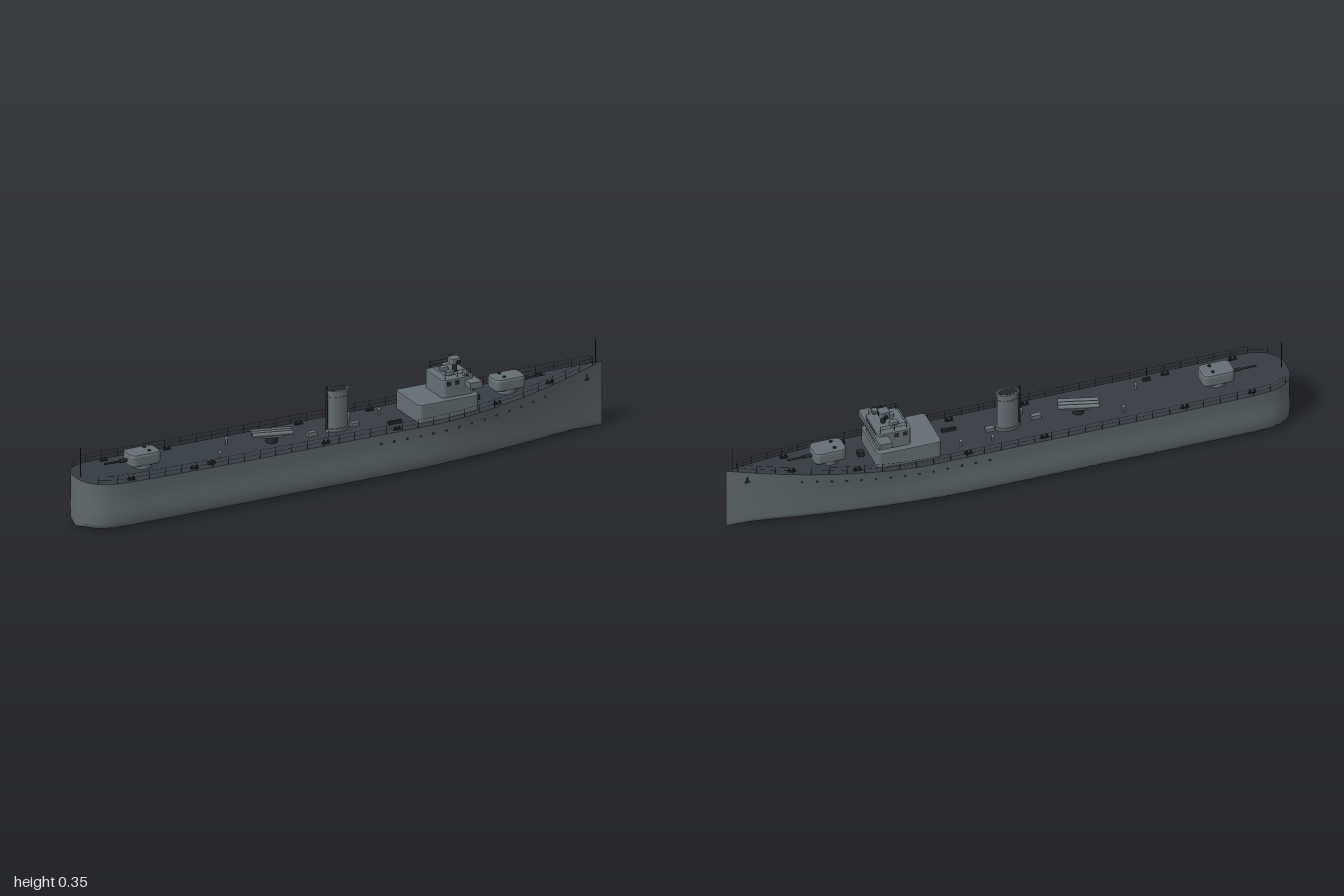
import * as THREE from 'three';

const mat = (name, color) => Object.assign(new THREE.MeshStandardMaterial({ color }), { name });

export function createModel() {
  const ship = new THREE.Group();
  ship.name = 'warship';
  const hullGrey = mat('hull grey', 0x5f696d);
  const houseGrey = mat('superstructure grey', 0x656f74);
  const deckGrey = mat('deck dark grey', 0x353c42);
  const dark = mat('fittings near black', 0x22282c);
  hullGrey.side = THREE.DoubleSide;

  const add = (name, geo, m, x = 0, y = 0, z = 0, parent = ship) => {
    const mesh = new THREE.Mesh(geo, m);
    mesh.name = name;
    mesh.position.set(x, y, z);
    parent.add(mesh);
    return mesh;
  };
  const box = (name, m, x, y, z, w, h, d, parent) =>
    add(name, new THREE.BoxGeometry(w, h, d), m, x, y, z, parent);
  const post = (name, m, x, y0, y1, z, r, sides = 10, parent = ship) =>
    add(name, new THREE.CylinderGeometry(r, r, y1 - y0, sides), m, x, (y0 + y1) / 2, z, parent);
  const rod = (name, m, a, b, r, sides = 8, parent = ship) => {
    const from = new THREE.Vector3(...a), to = new THREE.Vector3(...b);
    const mesh = add(name, new THREE.CylinderGeometry(r, r, from.distanceTo(to), sides), m, 0, 0, 0, parent);
    mesh.position.copy(from).lerp(to, 0.5);
    mesh.quaternion.setFromUnitVectors(new THREE.Vector3(0, 1, 0), to.sub(from).normalize());
    return mesh;
  };
  // Upright block with rounded plan corners and a bevelled rim
  const slab = (name, m, x0, x1, y0, y1, hz, r, bevel = 0.003, parent = ship) => {
    const w = (x1 - x0) / 2 - bevel, h = hz - bevel, s = new THREE.Shape();
    s.moveTo(-w + r, -h).lineTo(w - r, -h).absarc(w - r, -h + r, r, -Math.PI / 2, 0)
      .absarc(w - r, h - r, r, 0, Math.PI / 2).absarc(-w + r, h - r, r, Math.PI / 2, Math.PI)
      .absarc(-w + r, -h + r, r, Math.PI, Math.PI * 1.5);
    const geo = new THREE.ExtrudeGeometry(s, {
      depth: y1 - y0 - 2 * bevel, bevelSize: bevel, bevelThickness: bevel, bevelSegments: 2, curveSegments: 6,
    });
    geo.rotateX(-Math.PI / 2);
    return add(name, geo, m, (x0 + x1) / 2, y0 + bevel, 0, parent);
  };

  // Hull lines: sheer height and half breadth
  const BEAM = 0.119;
  const over = (v, p) => Math.pow(Math.max(v, 0), p);
  const sheer = x => 0.168 + 0.062 * over((x - 0.3) / 0.7, 1.5) + 0.008 * over((-x - 0.3) / 0.7, 2);
  const stern = x => over(1 - over((-0.85 - x) / 0.15, 2.5), 0.4);
  const deckHalf = x => BEAM * stern(x) * (1 - over((x - 0.3) / 0.7, 1.9));
  const bilgeHalf = x => BEAM * stern(x) * (1 - over((x - 0.12) / 0.88, 1.75));
  const sideHalf = (x, y) => {
    const t = (y - 0.06) / (sheer(x) - 0.06);
    return THREE.MathUtils.lerp(bilgeHalf(x), deckHalf(x), t) * (1 - 0.03 * Math.sin(Math.PI * t));
  };
  const section = x => [
    ...[[0, 0], [0.55, 0.007], [0.92, 0.014], [0.98, 0.03], [1, 0.06]].map(([f, y]) => [f * bilgeHalf(x), y]),
    ...[0.25, 0.5, 0.75, 1].map(t => {
      const y = 0.06 + t * (sheer(x) - 0.06);
      return [sideHalf(x, y), y];
    }),
  ];
  const stations = [-1, -0.998, -0.993, -0.985, -0.97, -0.945, -0.91, -0.85];
  for (let i = 1; i <= 40; i++) stations.push(-0.85 + (1.85 * i) / 40);

  const loft = (rows, flip) => {
    const n = rows[0].length, idx = [];
    for (let i = 0; i < rows.length - 1; i++) for (let j = 0; j < n - 1; j++) {
      const a = i * n + j, b = a + n, c = a + 1, d = b + 1;
      idx.push(...(flip ? [a, c, b, b, c, d] : [a, b, c, b, d, c]));
    }
    const geo = new THREE.BufferGeometry();
    geo.setAttribute('position', new THREE.Float32BufferAttribute(rows.flat(2), 3));
    geo.setIndex(idx);
    geo.computeVertexNormals();
    return geo;
  };
  for (const s of [1, -1])
    add(s > 0 ? 'hullStarboard' : 'hullPort',
      loft(stations.map(x => section(x).map(([z, y]) => [x, y, s * z])), s < 0), hullGrey);
  add('deck', loft(stations.map(x => [1, -1].map(s => [x, sheer(x), s * deckHalf(x)]))), deckGrey);

  // Portholes, anchors, railings and bollards on both sides
  for (const s of [1, -1]) {
    for (let x = 0.1; x < 0.78; x += 0.05) {
      const y = sheer(x) - 0.033;
      rod('porthole', dark, [x, y, s * (sideHalf(x, y) - 0.004)], [x, y, s * (sideHalf(x, y) + 0.001)], 0.005, 12);
    }
    const az = s * (sideHalf(0.93, 0.188) + 0.001);
    box('anchorShank', dark, 0.93, 0.19, az, 0.005, 0.02, 0.005);
    box('anchorFlukes', dark, 0.93, 0.182, az, 0.017, 0.006, 0.005);

    const edge = (x, h) => new THREE.Vector3(x, sheer(x) + h, s * (deckHalf(x) - 0.003));
    for (let x = -0.96; x < 0.97; x += 0.06) {
      const p = edge(x, 0);
      post('railStanchion', dark, x, p.y, p.y + 0.028, p.z, 0.0009, 4);
    }
    for (const h of [0.014, 0.028]) {
      const pts = [];
      for (let x = -0.96; x < 0.97; x += 0.06) pts.push(edge(x, h));
      add('railWire', new THREE.TubeGeometry(new THREE.CatmullRomCurve3(pts), 64, 0.0005, 3), dark);
    }
    for (const x of [-0.84, -0.6, -0.1, 0.17, 0.56, 0.78]) {
      const z = s * (deckHalf(x) - 0.02);
      for (const dx of [-0.008, 0.008]) post('bollard', dark, x + dx, sheer(x), sheer(x) + 0.011, z, 0.004);
      box('bollardBase', dark, x, sheer(x) + 0.001, z, 0.028, 0.003, 0.01);
    }
  }
  post('bowStaff', dark, 0.975, 0.225, 0.31, 0, 0.0015, 6);
  post('sternStaff', dark, -0.98, 0.17, 0.28, 0, 0.0015, 6);

  // Deckhouse and bridge
  slab('deckhouse', houseGrey, 0.26, 0.49, 0.165, 0.232, 0.087, 0.012);
  slab('bridge', houseGrey, 0.36, 0.482, 0.23, 0.296, 0.066, 0.014);
  box('bridgeWings', houseGrey, 0.467, 0.275, 0, 0.045, 0.022, 0.214);
  for (let i = -2; i <= 2; i++) box('bridgeWindow', dark, 0.4825, 0.281, i * 0.0205, 0.002, 0.017, 0.016);
  box('windowSurround', houseGrey, 0.484, 0.267, 0, 0.012, 0.008, 0.12);
  for (const s of [1, -1]) {
    for (const x of [0.385, 0.415]) box('sideWindow', dark, x, 0.281, s * 0.0662, 0.016, 0.015, 0.002);
    for (const x of [0.375, 0.42, 0.47])
      post('bridgeRailPost', dark, x, 0.295, 0.32, s * 0.056, 0.0009, 4);
    for (const y of [0.308, 0.32]) rod('bridgeRail', dark, [0.375, y, s * 0.056], [0.47, y, s * 0.056], 0.0008, 4);
    slab('lookoutStation', houseGrey, 0.395, 0.425, 0.294, 0.31, 0.011, 0.004).position.z = s * 0.022;
  }
  for (const y of [0.308, 0.32]) rod('bridgeRail', dark, [0.375, y, -0.056], [0.375, y, 0.056], 0.0008, 4);

  // Rangefinder director on its pedestal, and a light mount beside it
  post('directorPedestal', dark, 0.44, 0.294, 0.33, 0, 0.008, 12);
  slab('directorHousing', houseGrey, 0.42, 0.457, 0.324, 0.346, 0.018, 0.004);
  rod('rangefinderArm', houseGrey, [0.44, 0.336, -0.028], [0.44, 0.336, 0.028], 0.004);
  for (const s of [1, -1]) rod('rangefinderEnd', dark, [0.44, 0.336, s * 0.026], [0.44, 0.336, s * 0.034], 0.007, 12);
  box('directorSight', dark, 0.457, 0.337, 0, 0.003, 0.008, 0.018);
  post('lightMount', dark, 0.45, 0.294, 0.303, 0.056, 0.006);
  box('lightMountBody', houseGrey, 0.45, 0.306, 0.058, 0.018, 0.011, 0.022);
  rod('lightMountBarrel', dark, [0.45, 0.304, 0.065], [0.45, 0.304, 0.083], 0.002, 6);

  // Oval funnel with dark cap, bands and steam pipe
  const funnel = (name, m, y0, y1, rx, rz) =>
    post(name, m, -0.004, y0, y1, 0, 1, 28).scale.set(rx, 1, rz);
  funnel('funnelBase', houseGrey, 0.165, 0.178, 0.043, 0.025);
  funnel('funnel', houseGrey, 0.168, 0.305, 0.038, 0.021);
  funnel('funnelBand', houseGrey, 0.285, 0.29, 0.04, 0.023);
  funnel('funnelCap', houseGrey, 0.303, 0.314, 0.041, 0.024);
  funnel('funnelMouth', dark, 0.31, 0.315, 0.035, 0.018);
  post('steamPipe', dark, -0.045, 0.17, 0.326, 0, 0.004, 8);

  // Gun mounts: the aft one is turned around
  const gunMount = (name, x, turn) => {
    const g = new THREE.Group();
    g.name = name;
    g.position.set(x, sheer(x), 0);
    g.rotation.y = turn;
    ship.add(g);
    post('gunRing', houseGrey, 0, -0.004, 0.016, 0, 0.034, 24, g);
    slab('gunShield', houseGrey, -0.058, 0.058, 0.012, 0.058, 0.039, 0.012, 0.009, g);
    for (const z of [-0.018, 0.018]) post('shieldHatch', dark, -0.018, 0.056, 0.061, z, 0.006, 10, g);
    rod('gunSleeve', dark, [0.05, 0.032, 0], [0.085, 0.032, 0], 0.006, 10, g);
    rod('gunBarrel', dark, [0.05, 0.032, 0], [0.143, 0.032, 0], 0.0035, 10, g);
  };
  gunMount('foreGunMount', 0.637, 0);
  gunMount('aftGunMount', -0.747, Math.PI);

  // Triple torpedo tubes, slewed off the centreline
  const tubes = new THREE.Group();
  tubes.name = 'torpedoMount';
  tubes.position.set(-0.255, 0.168, 0);
  tubes.rotation.y = -0.27;
  ship.add(tubes);
  post('torpedoTurntable', dark, 0, 0, 0.024, 0, 0.02, 16, tubes);
  box('torpedoCradle', houseGrey, 0, 0.026, 0, 0.08, 0.006, 0.05, tubes);
  for (const z of [-0.018, 0, 0.018])
    rod('torpedoTube', houseGrey, [-0.07, 0.035, z], [0.07, 0.035, z], 0.0075, 12, tubes);

  // Small deck fittings
  box('skylight', houseGrey, -0.11, 0.175, 0.015, 0.034, 0.016, 0.018);
  box('locker', houseGrey, 0.06, 0.174, 0, 0.03, 0.014, 0.018);
  box('locker', dark, 0.19, 0.173, 0.045, 0.05, 0.011, 0.01);
  box('reel', dark, -0.53, 0.174, 0.09, 0.025, 0.012, 0.01);
  box('reel', dark, 0.52, 0.186, 0, 0.022, 0.02, 0.02);
  for (const [x, z] of [[0.18, -0.05], [-0.07, 0.05], [0.07, -0.06], [-0.48, 0.055], [-0.4, -0.05]]) {
    post('ventilator', houseGrey, x, sheer(x), sheer(x) + 0.02, z, 0.004);
    add('ventilatorHead', new THREE.SphereGeometry(0.006, 10, 8), houseGrey, x, sheer(x) + 0.021, z);
  }
  return ship;
}
